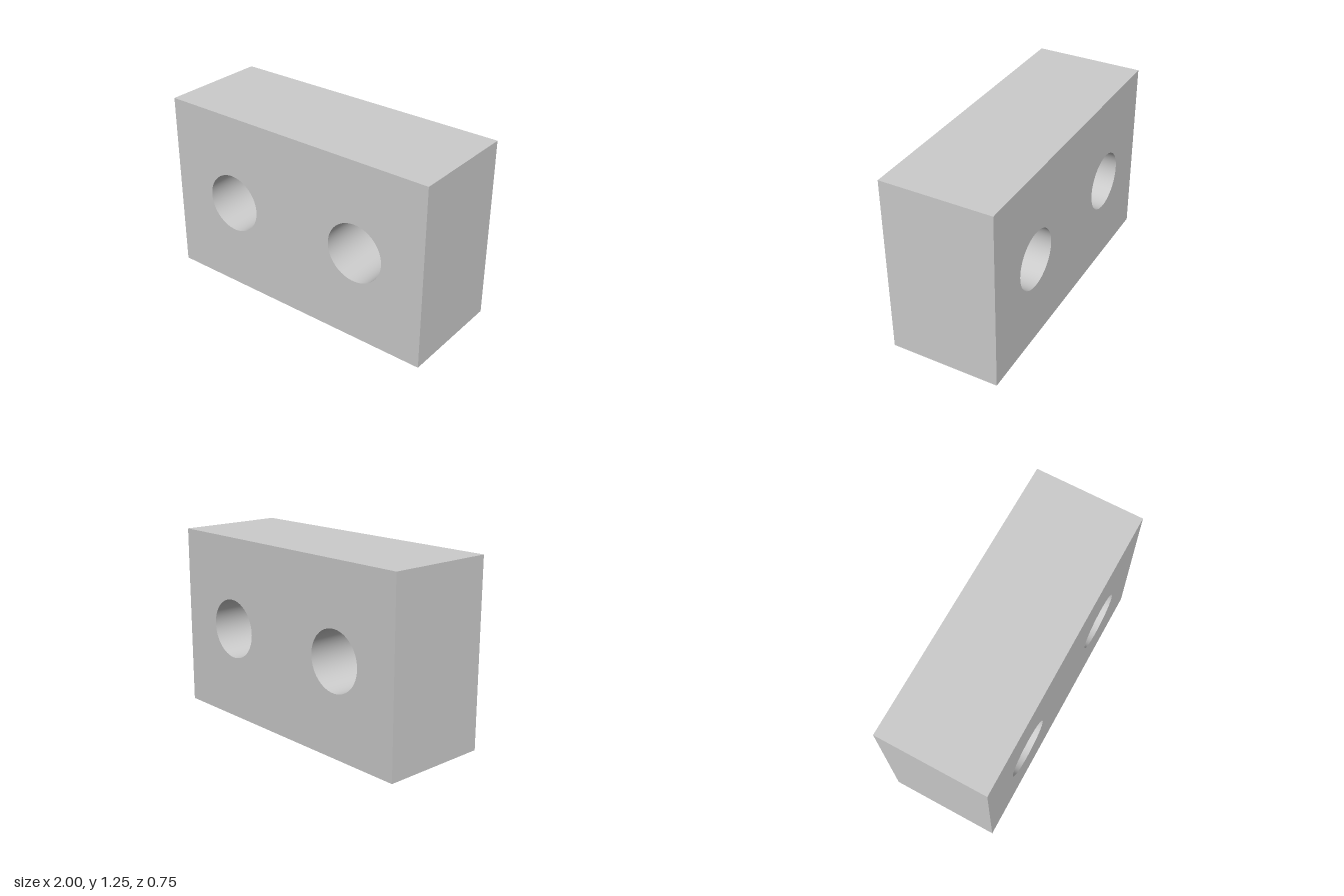
import * as THREE from 'three';
import { toCreasedNormals } from 'three/addons/utils/BufferGeometryUtils.js';

const WIDTH = 2, HEIGHT = 1.25, DEPTH = 0.75;
const HOLE_RADIUS = 0.202, HOLE_X = 0.5;

export function createModel() {
  const group = new THREE.Group();
  group.name = 'drilledBlock';

  // Rectangular face outline standing on y = 0
  const w = WIDTH / 2;
  const face = new THREE.Shape([
    new THREE.Vector2(-w, 0),
    new THREE.Vector2(w, 0),
    new THREE.Vector2(w, HEIGHT),
    new THREE.Vector2(-w, HEIGHT),
  ]);

  // Two round holes through the full depth, mirrored about the middle
  for (const side of [-1, 1]) {
    const hole = new THREE.Path();
    hole.absarc(side * HOLE_X, HEIGHT / 2, HOLE_RADIUS, 0, Math.PI * 2, true);
    face.holes.push(hole);
  }

  const solid = new THREE.ExtrudeGeometry(face, {
    depth: DEPTH, bevelEnabled: false, curveSegments: 32,
  });
  solid.translate(0, 0, -DEPTH / 2);

  // Smooth hole walls, sharp block edges
  const block = new THREE.Mesh(
    toCreasedNormals(solid, Math.PI / 6),
    new THREE.MeshStandardMaterial({ color: 0xcccccc }),
  );
  block.name = 'block';
  group.add(block);
  return group;
}
